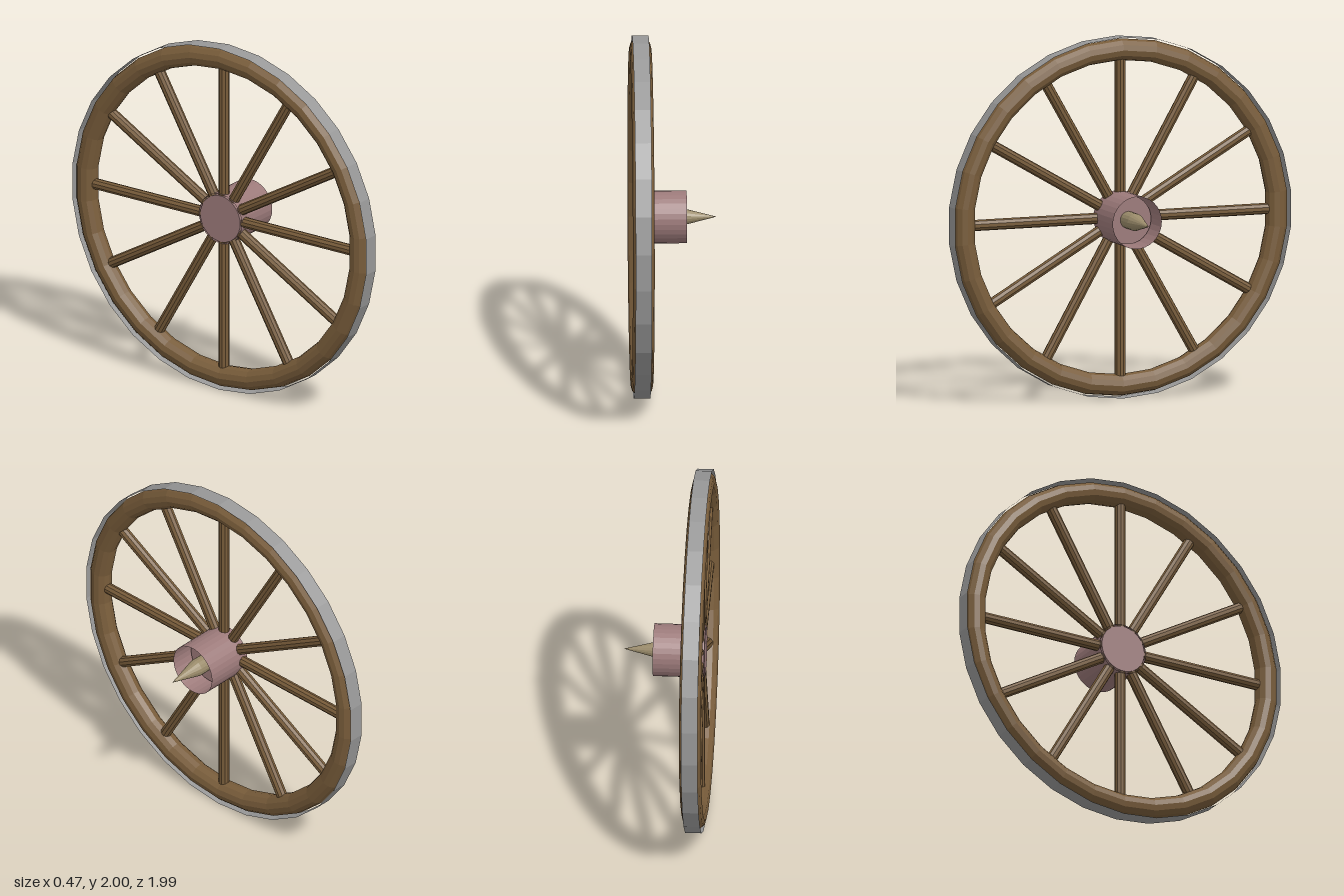
import * as THREE from 'three';

const WHEEL_X = -0.18; // plane of the wheel
const AXIS_Y = 1;      // height of the axle
const SIDES = 30;

function material(color, side = THREE.FrontSide) {
  return new THREE.MeshStandardMaterial({ color, side, flatShading: true });
}

export function createModel() {
  const model = new THREE.Group();
  const wood = material(0x785c3a);
  const iron = material(0x999999, THREE.DoubleSide);
  const hubPaint = material(0x9c7a7a);
  const hubShellPaint = material(0x9c7a7a, THREE.DoubleSide);
  const axleMetal = material(0x9a8b6a);

  function add(name, geometry, mat) {
    const mesh = new THREE.Mesh(geometry, mat);
    mesh.name = name;
    mesh.position.y = AXIS_Y;
    model.add(mesh);
    return mesh;
  }

  // Cylinder or cone along x, from x0 (radius r0) to x1 (radius r1)
  function alongX(name, r0, r1, x0, x1, mat, open = false, sides = SIDES) {
    const geometry = new THREE.CylinderGeometry(r1, r0, x1 - x0, sides, 1, open);
    geometry.rotateZ(-Math.PI / 2);
    geometry.translate((x0 + x1) / 2, 0, 0);
    return add(name, geometry, mat);
  }

  // Wooden rim, with a corner of the polygon at the top
  const rim = new THREE.TorusGeometry(0.93, 0.06, 12, SIDES);
  rim.rotateZ(Math.PI / 2);
  rim.rotateY(Math.PI / 2);
  add('rim', rim, wood).position.x = WHEEL_X;

  // Thin iron band around the rim
  alongX('tyre', 1, 1, WHEEL_X - 0.045, WHEEL_X + 0.045, iron, true).rotation.x = Math.PI / 2;

  // Hub: solid core with a thin sleeve that stays open at the outer end
  alongX('hubCore', 0.135, 0.135, -0.215, -0.06, hubPaint);
  alongX('hubSleeve', 0.145, 0.145, -0.213, 0.07, hubShellPaint, true);

  // Axle ending in a spike
  alongX('axle', 0.048, 0.048, -0.07, 0.045, axleMetal, true, 16);
  alongX('axleSpike', 0.048, 0, 0.045, 0.235, axleMetal, false, 16);

  // Twelve round spokes between hub and rim
  const spoke = new THREE.CylinderGeometry(0.031, 0.031, 0.8, 10);
  spoke.translate(0, 0.5, 0);
  for (let i = 0; i < 12; i++) {
    const mesh = add('spoke' + (i + 1), spoke, wood);
    mesh.position.x = WHEEL_X;
    mesh.rotation.x = (i / 12) * Math.PI * 2;
  }

  return model;
}
